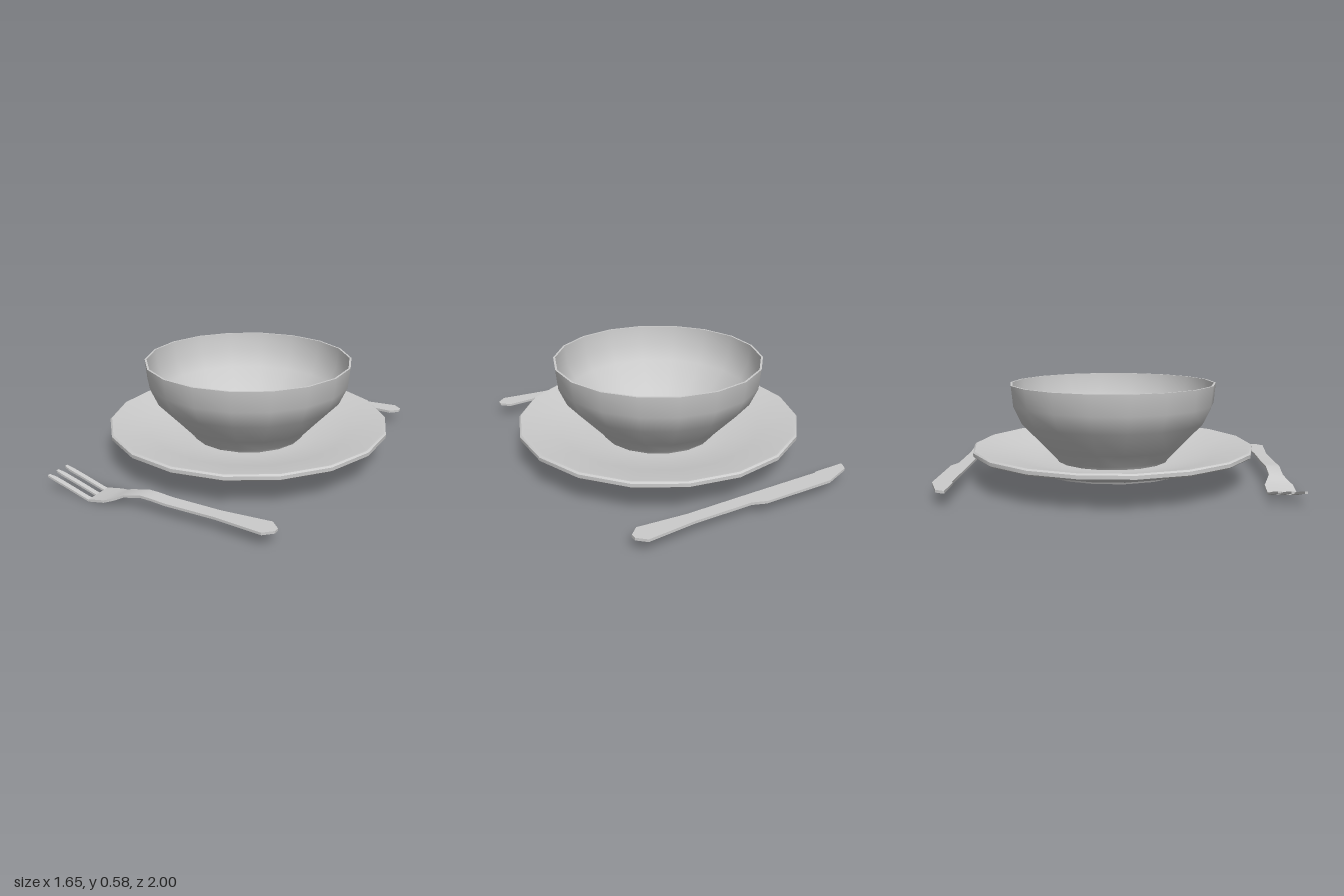
import * as THREE from 'three';
import { toCreasedNormals } from 'three/addons/utils/BufferGeometryUtils.js';

const material = new THREE.MeshStandardMaterial({ color: 0xcccccc });
const SIDES = 18;
const DISH_Z = -0.03;

function addMesh(parent, name, geometry) {
  const mesh = new THREE.Mesh(toCreasedNormals(geometry, 0.55), material);
  mesh.name = name;
  parent.add(mesh);
  return mesh;
}

// Turned dish: profile runs from the underside centre, out and up, back to the inner centre
function turned(profile) {
  return new THREE.LatheGeometry(profile.map(([r, y]) => new THREE.Vector2(r, y)), SIDES);
}

// Flat bar along x through stations [x, zMin, zMax, yBottom], x increasing
function bar(stations, thickness) {
  const rings = stations.map(([x, z0, z1, y]) => [
    [x, y, z0], [x, y, z1], [x, y + thickness, z1], [x, y + thickness, z0],
  ]);
  const positions = [];
  const quad = (a, b, c, d) => positions.push(...a, ...b, ...c, ...a, ...c, ...d);
  for (let s = 0; s < rings.length - 1; s++) {
    for (let i = 0; i < 4; i++) {
      const j = (i + 1) % 4;
      quad(rings[s][i], rings[s + 1][i], rings[s + 1][j], rings[s][j]);
    }
  }
  quad(...rings[0]);
  quad(...[...rings[rings.length - 1]].reverse());
  const geometry = new THREE.BufferGeometry();
  geometry.setAttribute('position', new THREE.Float32BufferAttribute(positions, 3));
  return geometry;
}

// Shared handle end, centred on z
const handleEnd = (z, y) => [
  [0.345, z - 0.038, z + 0.038, y],
  [0.62, z - 0.061, z + 0.061, y],
  [0.67, z - 0.015, z + 0.015, y],
];

export function createModel() {
  const model = new THREE.Group();
  model.name = 'tableSetting';

  // Plate with a small foot ring
  addMesh(model, 'plate', turned([
    [0, 0.088], [0.45, 0.088], [0.455, 0.07], [0.473, 0.07], [0.478, 0.08],
    [0.825, 0.172], [0.838, 0.182], [0.838, 0.202], [0.828, 0.21], [0.81, 0.208],
    [0.6, 0.155], [0.46, 0.125], [0.36, 0.115], [0, 0.115],
  ])).position.z = DISH_Z;

  // Bowl with a thin wall
  addMesh(model, 'bowl', turned([
    [0, 0.118], [0.335, 0.118], [0.345, 0.135], [0.415, 0.21], [0.555, 0.357],
    [0.602, 0.46], [0.614, 0.58], [0.602, 0.58], [0.59, 0.465],
    [0.543, 0.365], [0.405, 0.22], [0.338, 0.15], [0, 0.15],
  ])).position.z = DISH_Z;

  // Knife
  addMesh(model, 'knife', bar([
    [-0.69, -0.897, -0.885, 0.07],
    [-0.67, -0.938, -0.885, 0.07],
    [-0.505, -1, -0.885, 0.07],
    [-0.49, -1, -0.893, 0.07],
    [-0.08, -1, -0.893, 0.07],
    [0, -0.971, -0.893, 0.07],
    ...handleEnd(-0.933, 0.07),
  ], 0.015));

  // Fork: curved neck and handle
  const fork = new THREE.Group();
  fork.name = 'fork';
  model.add(fork);
  const z = 0.92;
  addMesh(fork, 'forkHandle', bar([
    [-0.4, z - 0.08, z + 0.08, 0],
    [-0.3, z - 0.08, z + 0.08, 0.018],
    [-0.25, z - 0.06, z + 0.06, 0.033],
    [-0.2, z - 0.04, z + 0.04, 0.055],
    [-0.09, z - 0.04, z + 0.04, 0.08],
    [-0.03, z - 0.04, z + 0.04, 0.079],
    [0.06, z - 0.04, z + 0.04, 0.072],
    ...handleEnd(z - 0.002, 0.07),
  ], 0.014));

  // Three tines rising towards their tips
  for (const side of [-1, 0, 1]) {
    const c = z + side * 0.066;
    addMesh(fork, 'forkTine', bar([
      [-0.68, c + side * 0.003 - 0.008, c + side * 0.003 + 0.008, 0.078],
      [-0.64, c - 0.014, c + 0.014, 0.068],
      [-0.55, c - 0.014, c + 0.014, 0.043],
      [-0.42, c - 0.014, c + 0.014, 0.004],
      [-0.4, c - 0.014, c + 0.014, 0],
    ], 0.012));
  }

  return model;
}
